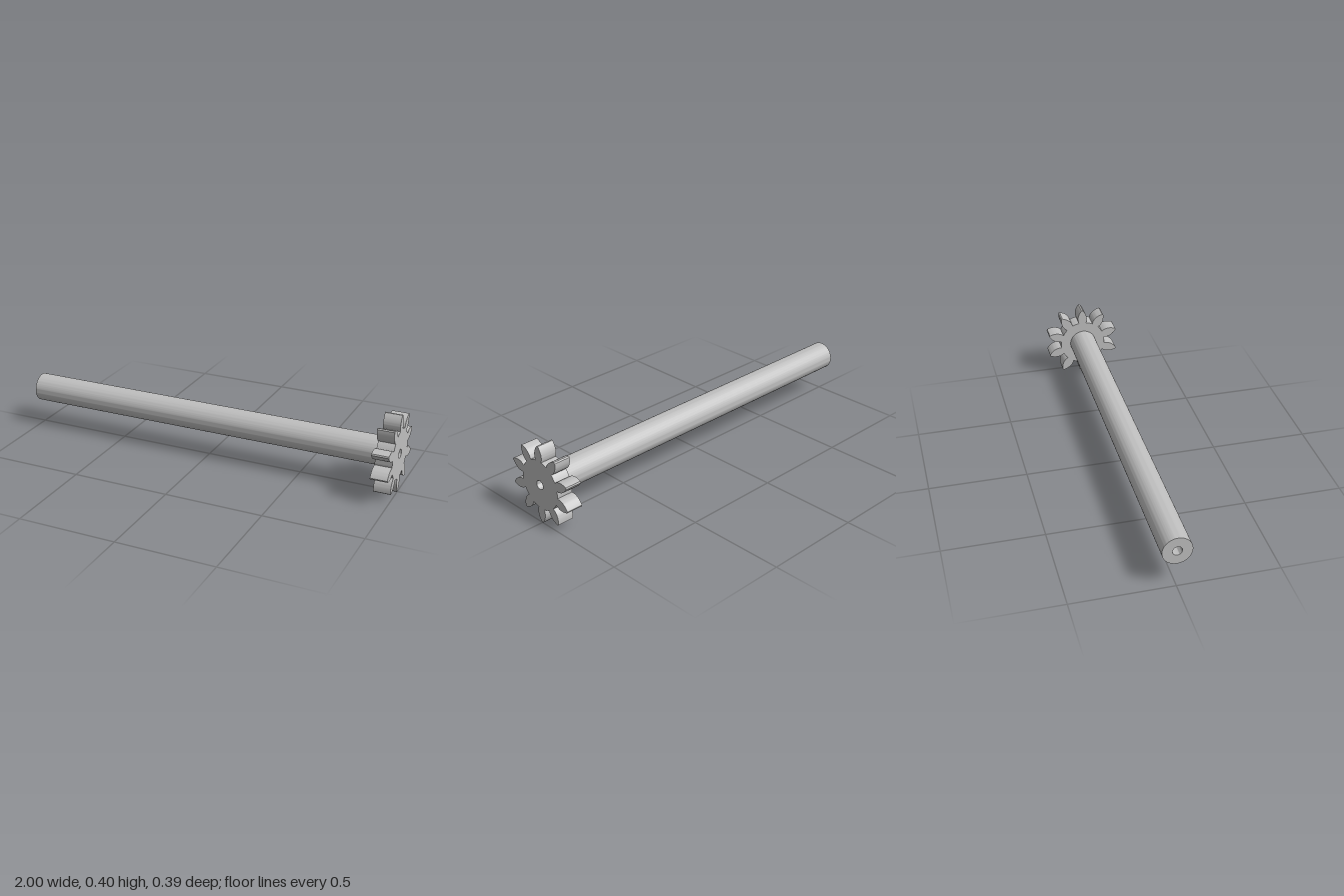
import * as THREE from 'three';
import { toCreasedNormals } from 'three/addons/utils/BufferGeometryUtils.js';

const AXIS_Y = 0.202;
const BORE = 0.023;
const GEAR_BACK = 0.915;
const TEETH = 10;

// Gear outline: bulging teeth joined by arcs of the root circle
function gearShape() {
  const shape = new THREE.Shape();
  const root = 0.126;
  const half = Math.asin(0.02 / root);
  const step = (Math.PI * 2) / TEETH;
  for (let i = 0; i < TEETH; i++) {
    const a = Math.PI / 2 + i * step;
    // u runs across the tooth, r outwards from the axis
    const p = (u, r) => [
      r * Math.cos(a) - u * Math.sin(a),
      r * Math.sin(a) + u * Math.cos(a),
    ];
    const base = Math.cos(half) * root;
    if (i === 0) shape.moveTo(...p(-0.02, base));
    shape.bezierCurveTo(...p(-0.029, 0.145), ...p(-0.029, 0.172), ...p(-0.004, 0.2015));
    shape.quadraticCurveTo(...p(0, 0.2025), ...p(0.004, 0.2015));
    shape.bezierCurveTo(...p(0.029, 0.172), ...p(0.029, 0.145), ...p(0.02, base));
    shape.absarc(0, 0, root, a + half, a + step - half, false);
  }
  return shape;
}

// Extrude a bored profile along x between two positions
function boredBar(name, shape, x0, x1, curveSegments, material) {
  const bore = new THREE.Path();
  bore.absarc(0, 0, BORE, 0, Math.PI * 2, true);
  shape.holes.push(bore);
  let geometry = new THREE.ExtrudeGeometry(shape, {
    depth: x1 - x0,
    bevelEnabled: false,
    curveSegments,
  });
  geometry = toCreasedNormals(geometry, Math.PI / 6);
  geometry.rotateY(Math.PI / 2);
  geometry.translate(x0, AXIS_Y, 0);
  const mesh = new THREE.Mesh(geometry, material);
  mesh.name = name;
  return mesh;
}

export function createModel() {
  const steel = new THREE.MeshStandardMaterial({ color: 0xbfbfbf });
  steel.name = 'light grey';

  const group = new THREE.Group();
  group.name = 'pinionShaft';

  // Long hollow shaft
  const round = new THREE.Shape();
  round.absarc(0, 0, 0.072, 0, Math.PI * 2, false);
  group.add(boredBar('shaft', round, -1, GEAR_BACK, 48, steel));

  // Pinion gear on the left end
  group.add(boredBar('gear', gearShape(), GEAR_BACK, 1, 12, steel));

  return group;
}
